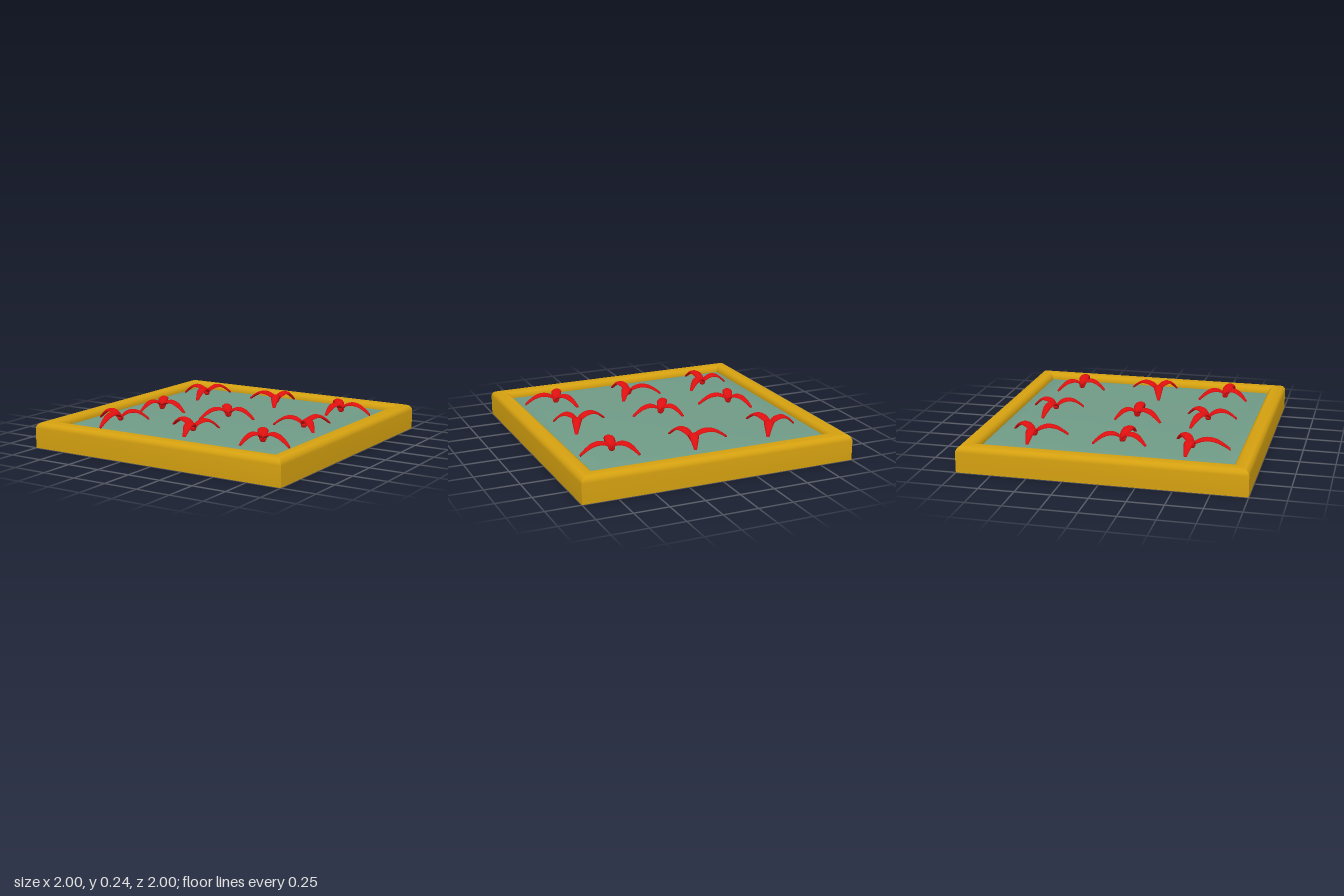
import * as THREE from 'three';
import { toCreasedNormals } from 'three/addons/utils/BufferGeometryUtils.js';

// Square solid with mitred corners: profile of [half width, height], listed bottom to top
function squareLathe(profile) {
  const pts = profile.map(([r, y]) => new THREE.Vector2(r * Math.SQRT2, y));
  return toCreasedNormals(new THREE.LatheGeometry(pts, 4, Math.PI / 4), 0.5);
}

// Points on an elliptical arc, angles in degrees
function arc(cx, cy, rx, ry, from, to, steps = 6) {
  return Array.from({ length: steps + 1 }, (_, i) => {
    const a = THREE.MathUtils.degToRad(from + ((to - from) * i) / steps);
    return [cx + rx * Math.cos(a), cy + ry * Math.sin(a)];
  });
}

// Arched petal along +x, unit length: oval sections swept along a curve
function petalGeometry() {
  const N = 16, M = 10, pos = [], idx = [];
  const spine = new THREE.CatmullRomCurve3([
    [0, 0.182], [0.12, 0.212], [0.35, 0.234], [0.6, 0.228], [0.83, 0.198], [1, 0.166],
  ].map(([x, y]) => new THREE.Vector3(x, y, 0)));
  const width = new THREE.CatmullRomCurve3([
    [0, 0.022], [0.2, 0.031], [0.45, 0.037], [0.7, 0.031], [0.9, 0.02], [1, 0.01],
  ].map(([x, w]) => new THREE.Vector3(x, w, 0)));
  for (let i = 0; i <= N; i++) {
    const p = spine.getPoint(i / N), w = width.getPoint(i / N).y;
    for (let j = 0; j < M; j++) {
      const a = (j / M) * Math.PI * 2, c = Math.cos(a);
      // edges droop a little, so the petal is convex across
      pos.push(p.x, p.y + 0.01 * Math.sin(a) - 0.25 * w * c * c, w * c);
      if (i < N) {
        const k = i * M + j, n = i * M + ((j + 1) % M);
        idx.push(k, k + M, n, n, k + M, n + M);
      }
    }
  }
  // end caps
  for (let j = 1; j < M - 1; j++) {
    idx.push(0, j, j + 1, N * M, N * M + j + 1, N * M + j);
  }
  const g = new THREE.BufferGeometry();
  g.setAttribute('position', new THREE.Float32BufferAttribute(pos, 3));
  g.setIndex(idx);
  g.computeVertexNormals();
  return g;
}

// Flower centre x, z, then the three petal tips x, z
const FLOWERS = [
  [-0.58, -0.57, -0.47, -0.75, -0.78, -0.56, -0.52, -0.34],
  [0.04, -0.6, 0.1, -0.78, -0.21, -0.63, 0.13, -0.41],
  [0.62, -0.56, 0.48, -0.72, 0.85, -0.57, 0.59, -0.37],
  [-0.57, 0.06, -0.67, -0.13, -0.34, 0.1, -0.64, 0.24],
  [0, 0.03, -0.12, -0.11, 0.22, 0.03, -0.12, 0.23],
  [0.64, 0.05, 0.73, -0.17, 0.42, 0.1, 0.78, 0.17],
  [-0.59, 0.55, -0.43, 0.42, -0.78, 0.54, -0.57, 0.81],
  [0.04, 0.55, 0.15, 0.385, -0.19, 0.46, 0.1, 0.75],
  [0.62, 0.58, 0.51, 0.395, 0.845, 0.62, 0.545, 0.755],
];

export function createModel() {
  const group = new THREE.Group();
  const gold = new THREE.MeshStandardMaterial({ color: 0xd4a010 });
  const green = new THREE.MeshStandardMaterial({ color: 0x6f9a86 });
  const red = new THREE.MeshStandardMaterial({ color: 0xdd1010, side: THREE.DoubleSide });

  // Frame with rounded rim and closed underside
  const frame = new THREE.Mesh(squareLathe([
    [0, 0], [1, 0],
    ...arc(0.95, 0.142, 0.05, 0.045, 0, 90),
    ...arc(0.92, 0.142, 0.04, 0.045, 90, 180),
    [0.88, 0.1],
  ]), gold);
  frame.name = 'frame';
  group.add(frame);

  // Raised panel with softly sloped border
  const panel = new THREE.Mesh(squareLathe([
    [0.885, 0.1], [0.885, 0.138], [0.83, 0.151], [0.785, 0.162], [0.75, 0.165], [0, 0.165],
  ]), green);
  panel.name = 'panel';
  group.add(panel);

  // Three-petalled flowers
  const petal = petalGeometry();
  const heart = new THREE.SphereGeometry(0.022, 12, 8);
  for (const [cx, cz, ...tips] of FLOWERS) {
    const flower = new THREE.Group();
    flower.name = 'flower';
    flower.position.set(cx, 0, cz);
    for (let i = 0; i < 6; i += 2) {
      const dx = tips[i] - cx, dz = tips[i + 1] - cz;
      const mesh = new THREE.Mesh(petal, red);
      mesh.name = 'petal';
      mesh.rotation.y = Math.atan2(-dz, dx);
      mesh.scale.x = Math.hypot(dx, dz);
      flower.add(mesh);
    }
    const core = new THREE.Mesh(heart, red);
    core.name = 'flowerCentre';
    core.position.y = 0.182;
    flower.add(core);
    group.add(flower);
  }
  return group;
}
